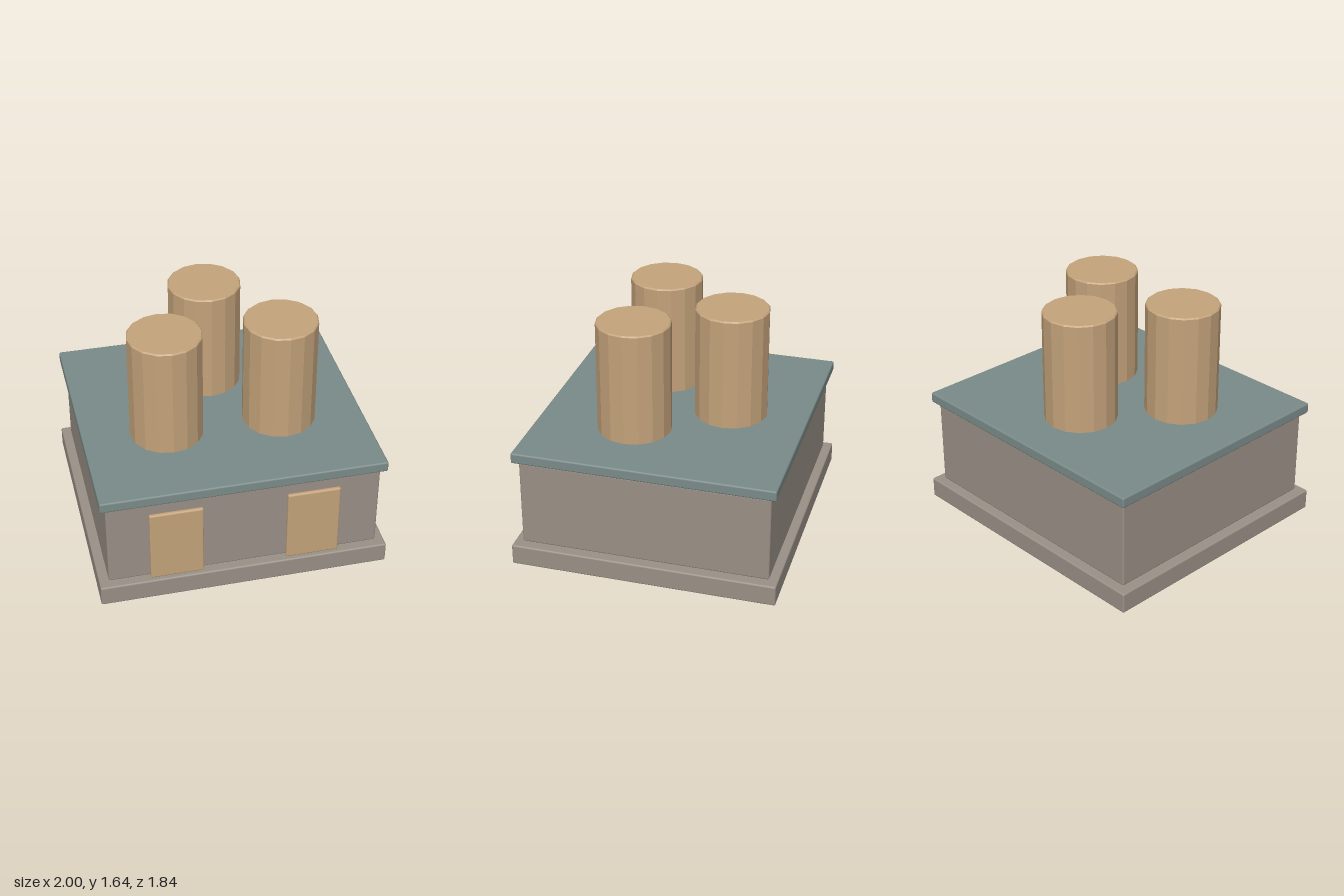
import * as THREE from 'three';
import { RoundedBoxGeometry } from 'three/addons/geometries/RoundedBoxGeometry.js';

const material = (name, color) => {
  const m = new THREE.MeshStandardMaterial({ color });
  m.name = name;
  return m;
};

// Softly bevelled box given by its min and max corners
function block(name, mat, [x0, y0, z0], [x1, y1, z1], bevel = 0.012) {
  const mesh = new THREE.Mesh(new RoundedBoxGeometry(x1 - x0, y1 - y0, z1 - z0, 2, bevel), mat);
  mesh.position.set((x0 + x1) / 2, (y0 + y1) / 2, (z0 + z1) / 2);
  mesh.name = name;
  return mesh;
}

// Faceted sixteen-sided column with a small chamfer on both rims
function columnGeometry(radius, height, c) {
  const profile = [
    [0, 0], [radius - c, 0], [radius, c],
    [radius, height - c], [radius - c, height], [0, height],
  ].map(([r, y]) => new THREE.Vector2(r, y));
  const geometry = new THREE.LatheGeometry(profile, 16).toNonIndexed();
  geometry.computeVertexNormals();
  return geometry;
}

export function createModel() {
  const model = new THREE.Group();
  model.name = 'building';
  const stone = material('warm grey stone', 0x9a9086);
  const slate = material('slate teal', 0x7a8b89);
  const tan = material('tan', 0xc4a37b);

  // Plinth, walls and the roof slab floating just above them
  model.add(
    block('plinth', stone, [-1, 0, -0.92], [1, 0.147, 0.92]),
    block('walls', stone, [-0.935, 0.152, -0.86], [0.935, 0.767, 0.86]),
    block('roofSlab', slate, [-0.975, 0.78, -0.9], [0.975, 0.855, 0.9]),
  );

  // Two front doors, mirrored
  for (const side of [-1, 1]) {
    const x = side * 0.47;
    model.add(block(side > 0 ? 'leftDoor' : 'rightDoor', tan,
      [x - 0.183, 0.154, 0.869], [x + 0.183, 0.694, 0.9]));
  }

  // Three silos standing through the roof
  const siloGeometry = columnGeometry(0.254, 0.878, 0.009);
  const silos = [['backSilo', 0, -0.358], ['rightSilo', -0.395, 0.217], ['leftSilo', 0.395, 0.217]];
  for (const [name, x, z] of silos) {
    const silo = new THREE.Mesh(siloGeometry, tan);
    silo.name = name;
    silo.position.set(x, 0.767, z);
    model.add(silo);
  }
  return model;
}
